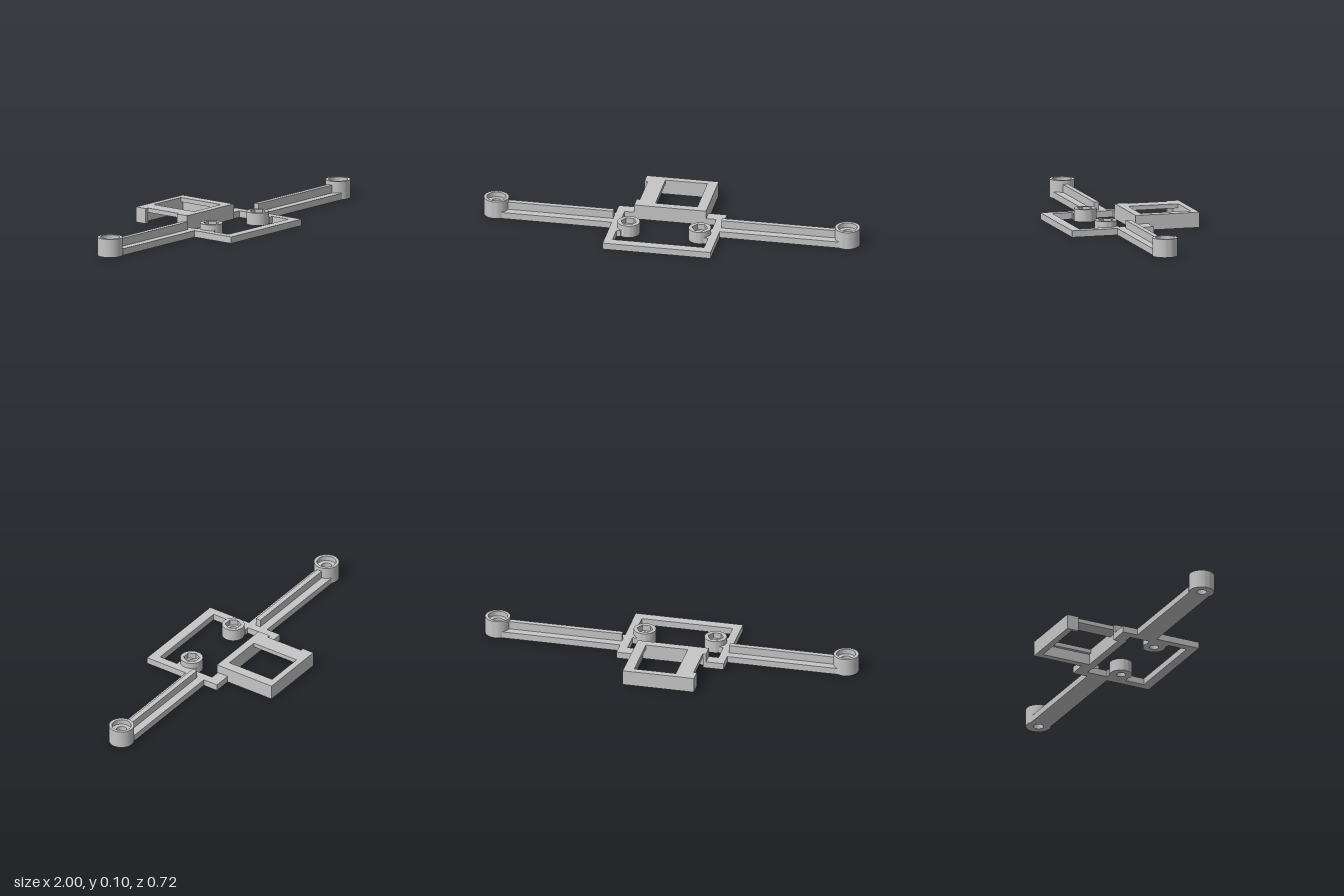
import * as THREE from 'three';
import { toCreasedNormals } from 'three/addons/utils/BufferGeometryUtils.js';

const grey = new THREE.MeshStandardMaterial({ color: 0xc6c6c6 });
grey.name = 'grey plastic';

// Outline in plan; points are [x, z]
const toPlan = (pts) => pts.map(([x, z]) => new THREE.Vector2(x, -z));
const rect = (x0, x1, z0, z1) => [[x0, z0], [x1, z0], [x1, z1], [x0, z1]];
const polygon = (r, n) => Array.from({ length: n }, (_, i) => {
  const a = (i / n) * Math.PI * 2;
  return [r * Math.cos(a), r * Math.sin(a)];
});

// Plan outline with holes, raised from y0 to y1; holes wind opposite to the outline
function slab(name, pts, holes, y0, y1) {
  const shape = new THREE.Shape(toPlan(pts));
  for (const h of holes) shape.holes.push(new THREE.Path(toPlan(h).reverse()));
  const geo = new THREE.ExtrudeGeometry(shape, { depth: y1 - y0, bevelEnabled: false });
  geo.rotateX(-Math.PI / 2).translate(0, y0, 0);
  const mesh = new THREE.Mesh(toCreasedNormals(geo, 0.5), grey);
  mesh.name = name;
  return mesh;
}

const block = (name, x0, x1, y0, y1, z0, z1) => slab(name, rect(x0, x1, z0, z1), [], y0, y1);

// Round post: narrow hole below, wider pocket above
function boss(name, x, z, r, hole, pocket, sides, floor, top) {
  const g = new THREE.Group();
  g.name = name;
  const outer = polygon(r, 48);
  g.add(
    slab('bossBase', outer, [polygon(hole, 32)], 0, floor),
    slab('bossRim', outer, [polygon(pocket, sides)], floor, top)
  );
  g.position.set(x, 0, z);
  return g;
}

export function createModel() {
  const model = new THREE.Group();
  model.name = 'mountingBracket';
  const base = 0.035;

  // Flat rectangular frame
  model.add(
    block('frameFrontBar', -0.31, 0.265, 0, base, 0.31, 0.362),
    block('frameRightBar', -0.31, -0.267, 0, base, -0.02, 0.31),
    block('frameLeftBar', 0.22, 0.265, 0, base, -0.02, 0.31),
    block('frameRightTab', -0.31, -0.2, 0, base, -0.083, -0.02),
    block('frameLeftTab', 0.167, 0.265, 0, base, -0.083, -0.02)
  );

  // Nut posts beside the frame, with short webs
  model.add(
    boss('rightNutPost', -0.213, 0.148, 0.059, 0.024, 0.042, 6, base, 0.066),
    boss('leftNutPost', 0.166, 0.148, 0.059, 0.024, 0.042, 6, base, 0.066),
    block('rightPostWeb', -0.267, -0.245, 0, base, 0.093, 0.203),
    block('leftPostWeb', 0.197, 0.22, 0, base, 0.093, 0.203)
  );

  // Arms with a centre rib and a counterbored end post
  for (const [side, s, inner] of [['left', 1, 0.265], ['right', -1, 0.31]]) {
    const span = (a, b) => (s > 0 ? [a, b] : [-b, -a]);
    model.add(
      block(side + 'Arm', ...span(inner, 0.897), 0, base, 0, 0.115),
      block(side + 'ArmRib', ...span(inner, 0.88), base, 0.077, 0.043, 0.071),
      boss(side + 'EndPost', s * 0.934, 0.0575, 0.066, 0.027, 0.05, 48, 0.07, 0.097)
    );
  }

  // Raised housing: windowed top, walls on three sides, open on the right
  const top = 0.081, under = 0.058;
  model.add(
    slab('housingTop', [
      [-0.215, -0.362], [0.167, -0.362], [0.167, -0.014], [-0.215, -0.014],
      [-0.215, -0.083], [-0.198, -0.083], [-0.198, -0.295], [-0.215, -0.295]
    ], [rect(-0.11, 0.113, -0.328, -0.056)], under, top),
    block('housingBackWall', -0.215, 0.167, 0, under, -0.362, -0.328),
    block('housingLeftWall', 0.13, 0.167, 0, under, -0.328, -0.056),
    block('housingFrontWall', -0.215, 0.167, 0, under, -0.056, -0.014),
    block('housingBackLip', -0.215, -0.198, 0, under, -0.328, -0.295),
    block('housingFrontLip', -0.215, -0.198, 0, under, -0.083, -0.056)
  );
  return model;
}
